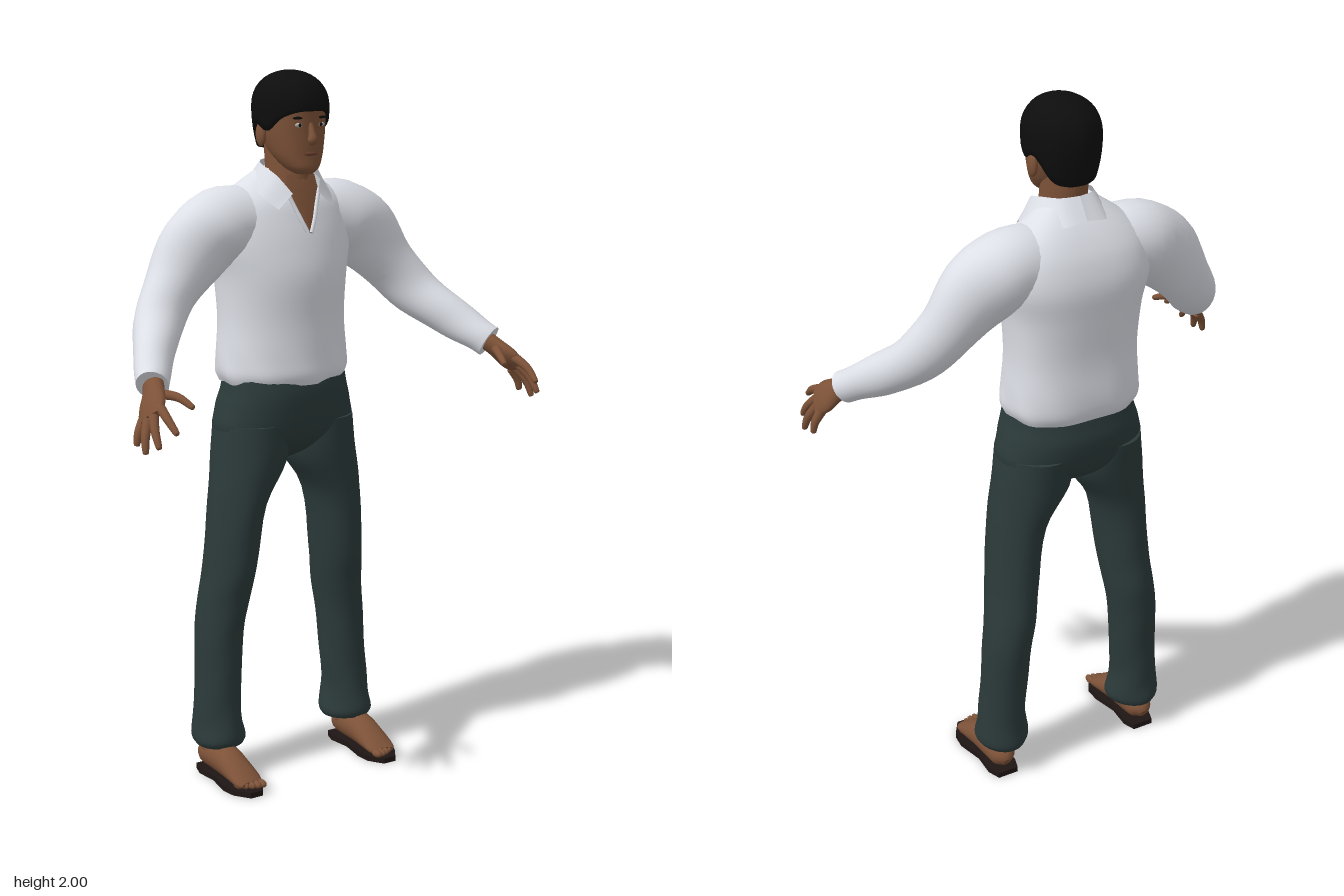
import * as THREE from 'three';

const V = (x, y, z) => new THREE.Vector3(x, y, z);

// Smoothly interpolates rows of numbers, k steps between each pair
function smooth(rows, k = 4) {
  const out = [], last = rows.length - 1;
  for (let i = 0; i < last; i++) {
    const [a, b, c, d] = [rows[Math.max(i - 1, 0)], rows[i], rows[i + 1], rows[Math.min(i + 2, last)]];
    for (let j = 0; j < k; j++) {
      const t = j / k;
      out.push(b.map((_, n) => 0.5 * (2 * b[n] + (c[n] - a[n]) * t +
        (2 * a[n] - 5 * b[n] + 4 * c[n] - d[n]) * t * t + (3 * b[n] - a[n] - 3 * c[n] + d[n]) * t * t * t)));
    }
  }
  out.push(rows[last]);
  return out;
}

// Skins a stack of closed rings and caps both ends
function loft(rings) {
  const n = rings[0].length, pos = [], idx = [];
  rings.forEach(r => r.forEach(p => pos.push(p.x, p.y, p.z)));
  for (let i = 0; i < rings.length - 1; i++) for (let j = 0; j < n; j++) {
    const a = i * n + j, b = i * n + (j + 1) % n;
    idx.push(a, b, a + n, b, b + n, a + n);
  }
  for (const end of [0, 1]) {
    const ring = rings[end ? rings.length - 1 : 0], base = pos.length / 3, mid = V(0, 0, 0);
    ring.forEach(p => { pos.push(p.x, p.y, p.z); mid.addScaledVector(p, 1 / n); });
    pos.push(mid.x, mid.y, mid.z);
    for (let j = 0; j < n; j++) {
      const a = base + j, b = base + (j + 1) % n;
      idx.push(base + n, end ? a : b, end ? b : a);
    }
  }
  return mesh3(pos, idx);
}

function mesh3(pos, idx) {
  const g = new THREE.BufferGeometry();
  g.setAttribute('position', new THREE.Float32BufferAttribute(pos, 3));
  g.setIndex(idx);
  g.computeVertexNormals();
  return g;
}

// Level cross-sections: [y, centre x, half width, front z, back z]
function stack(rows, { n = 32, front = 2, back = 2, fold = () => 0 } = {}) {
  return loft(smooth(rows).map(([y, cx, rx, zf, zb]) => Array.from({ length: n }, (_, j) => {
    const a = j / n * Math.PI * 2, c = Math.cos(a), s = -Math.sin(a), e = 2 / (s > 0 ? front : back);
    const f = 1 + fold(a, y);
    return V(cx + Math.sign(c) * Math.abs(c) ** e * rx * f, y,
      (zf + zb) / 2 + Math.sign(s) * Math.abs(s) ** e * (zf - zb) / 2 * f);
  })));
}

// Limb along a path: [x, y, z, radius, radius along ref]
function limb(rows, { n = 16, ref = V(0, 0, 1), k = 4, fold = () => 0 } = {}) {
  const pts = smooth(rows, k), at = i => V(...pts[Math.min(Math.max(i, 0), pts.length - 1)]);
  return loft(pts.map(([x, y, z, r, rw = r], i) => {
    const t = at(i + 1).sub(at(i - 1)).normalize();
    const u = t.clone().cross(ref).normalize(), w = t.clone().cross(u);
    return Array.from({ length: n }, (_, j) => {
      const a = j / n * Math.PI * 2, f = 1 + fold(a, i);
      return V(x, y, z).addScaledVector(u, Math.cos(a) * r * f).addScaledVector(w, Math.sin(a) * rw * f);
    });
  }));
}

const ball = (x, y, z, sx, sy, sz) => new THREE.SphereGeometry(1, 16, 10).scale(sx, sy, sz).translate(x, y, z);

function mirrored(g) {
  const m = g.clone().scale(-1, 1, 1), ix = m.index.array;
  for (let i = 0; i < ix.length; i += 3) [ix[i], ix[i + 1]] = [ix[i + 1], ix[i]];
  m.computeVertexNormals();
  return m;
}

// Hair cap whose lower edge runs from forehead to sideburn, ear and nape
function hairCap() {
  const n = 48, rings = [];
  const edge = smooth([[1.895], [1.893], [1.875], [1.84], [1.86], [1.80], [1.785], [1.785]], 8);
  for (let i = 0; i <= 15; i++) rings.push(Array.from({ length: n }, (_, j) => {
    const a = j / n * Math.PI * 2, c = Math.cos(a), s = -Math.sin(a);
    const back = Math.acos(s) / Math.PI * (edge.length - 1), lo = Math.floor(back);
    const y0 = THREE.MathUtils.lerp(edge[lo][0], edge[Math.min(lo + 1, edge.length - 1)][0], back - lo);
    const y = y0 + (1.999 - y0) * Math.sin(Math.max(i - 1, 0) / 14 * Math.PI / 2);
    let r = y > 1.9 ? Math.sqrt(Math.max(0.0004, 1 - ((y - 1.9) / 0.1) ** 2.3)) : 1 - 12 * (1.9 - y) ** 2;
    r *= i === 0 ? 0.8 : 1 + 0.008 * Math.sin(a * 9);
    return V(c * 0.101 * r, y, -0.085 + s * 0.119 * r);
  }));
  return loft(rings);
}

export function createModel() {
  const model = new THREE.Group();
  const mat = (name, color, side = THREE.FrontSide) =>
    Object.assign(new THREE.MeshStandardMaterial({ color, side }), { name });
  const skin = mat('skin', 0x7d5238), shirt = mat('shirtWhite', 0xdcdfe6, THREE.DoubleSide);
  const cloth = mat('trouserGreen', 0x2c3a3a), black = mat('hairBlack', 0x0d0d0e);
  const soleMat = mat('soleBrown', 0x1e1614), white = mat('eyeWhite', 0xb9b2aa), lipMat = mat('lip', 0x6b3f30);
  const add = (name, g, m) => {
    const o = new THREE.Mesh(g, m);
    o.name = name;
    model.add(o);
  };
  const pair = (name, g, m) => { add('left' + name, g, m); add('right' + name, mirrored(g), m); };

  // Head and neck
  add('head', stack([[1.724, 0, 0.022, 0.006, -0.04], [1.74, 0, 0.046, 0.019, -0.08], [1.77, 0, 0.066, 0.018, -0.12],
    [1.80, 0, 0.077, 0.018, -0.15], [1.84, 0, 0.086, 0.018, -0.175], [1.88, 0, 0.088, 0.02, -0.185],
    [1.92, 0, 0.087, 0.02, -0.185], [1.96, 0, 0.065, -0.01, -0.16]], { front: 2.2 }), skin);
  add('neck', stack([[1.60, 0, 0.075, -0.03, -0.17], [1.68, 0, 0.064, -0.022, -0.165], [1.73, 0, 0.061, -0.025, -0.165],
    [1.77, 0, 0.061, -0.03, -0.168], [1.83, 0, 0.062, -0.03, -0.17]]), skin);
  add('hair', hairCap(), black);
  add('nose', limb([[0, 1.862, 0.014, 0.007], [0, 1.835, 0.024, 0.010], [0, 1.818, 0.026, 0.014],
    [0, 1.808, 0.018, 0.008]], { n: 12 }), skin);
  add('mouth', ball(0, 1.78, 0.012, 0.024, 0.007, 0.009), lipMat);
  pair('Ear', ball(0.09, 1.83, -0.092, 0.012, 0.034, 0.02), skin);
  pair('Eye', ball(0.034, 1.858, 0.011, 0.014, 0.006, 0.005), white);
  pair('Iris', ball(0.034, 1.858, 0.0145, 0.005, 0.005, 0.003), black);
  pair('Eyebrow', ball(0.036, 1.877, 0.011, 0.019, 0.004, 0.006), black);

  // Shirt body, loose with folds gathering at the hem
  const gather = (a, y) => 0.006 * Math.sin(5 * a + y * 14) + Math.max(0, 1.26 - y) * 0.12 * Math.sin(9 * a + y * 30);
  add('shirtBody', stack([[1.142, 0, 0.182, 0.012, -0.258], [1.17, 0, 0.193, 0.022, -0.268], [1.22, 0, 0.191, 0.02, -0.27],
    [1.32, 0, 0.184, 0.018, -0.266], [1.44, 0, 0.192, 0.025, -0.276], [1.53, 0, 0.212, 0.012, -0.283],
    [1.60, 0, 0.208, -0.006, -0.268], [1.65, 0, 0.182, -0.024, -0.243], [1.695, 0, 0.125, -0.055, -0.21],
    [1.735, 0, 0.068, -0.075, -0.172]], { n: 48, back: 2.6, fold: gather }), shirt);
  pair('Sleeve', limb([[0.11, 1.585, -0.14, 0.098, 0.1], [0.20, 1.58, -0.138, 0.107, 0.104], [0.28, 1.528, -0.13, 0.105, 0.088],
    [0.36, 1.435, -0.115, 0.082, 0.07], [0.425, 1.355, -0.075, 0.07, 0.064], [0.485, 1.293, 0.0, 0.06, 0.056],
    [0.53, 1.248, 0.068, 0.05, 0.047], [0.554, 1.222, 0.108, 0.047, 0.042]],
  { n: 24, fold: (a, i) => 0.02 * Math.sin(2 * a + i * 0.9) }), shirt);

  // Open neckline
  const vee = [[1.565, 0.002, 0.012], [1.60, 0.018, 0.006], [1.64, 0.034, -0.005], [1.68, 0.05, -0.014], [1.72, 0.045, -0.026]];
  const vp = [], vi = [];
  vee.forEach(([y, w, z], i) => {
    vp.push(-w, y, z - w * 0.18, 0, y, z, w, y, z - w * 0.18);
    if (i) for (const k of [3 * i - 3, 3 * i - 2]) vi.push(k, k + 1, k + 4, k, k + 4, k + 3);
  });
  add('openNeckline', mesh3(vp, vi), skin);
  pair('NecklineEdge', limb(vee.slice(0, 4).map(([y, w, z]) => [w + 0.003, y, z - w * 0.18, 0.006]), { n: 8 }), shirt);

  // Collar: top edge and turned-down lower edge, from nape to front tip
  const collar = smooth([[0, 1.755, -0.178, 0, 1.70, -0.216], [0.05, 1.752, -0.16, 0.07, 1.69, -0.206],
    [0.077, 1.742, -0.10, 0.108, 1.69, -0.13], [0.07, 1.72, -0.045, 0.112, 1.665, -0.055],
    [0.042, 1.672, -0.008, 0.088, 1.632, -0.008]]);
  const cp = [], ci = [];
  collar.forEach((r, i) => {
    cp.push(...r);
    if (i) ci.push(2 * i - 2, 2 * i, 2 * i - 1, 2 * i, 2 * i + 1, 2 * i - 1);
  });
  pair('Collar', mesh3(cp, ci), shirt);

  // Trousers: hips and two legs with crumpled cuffs
  add('trouserHips', stack([[0.915, 0, 0.02, -0.10, -0.15], [0.95, 0, 0.11, -0.04, -0.215], [1.0, 0, 0.208, -0.004, -0.248],
    [1.07, 0, 0.203, 0.01, -0.262], [1.12, 0, 0.188, 0.014, -0.256], [1.16, 0, 0.18, 0.01, -0.25]],
  { front: 2.3, back: 2.3 }), cloth);
  pair('TrouserLeg', stack([[0.095, 0.22, 0.068, -0.058, -0.205], [0.115, 0.221, 0.077, -0.05, -0.211],
    [0.16, 0.222, 0.071, -0.06, -0.207], [0.21, 0.222, 0.067, -0.066, -0.205], [0.30, 0.215, 0.067, -0.07, -0.208],
    [0.42, 0.208, 0.068, -0.068, -0.22], [0.52, 0.194, 0.07, -0.055, -0.226], [0.62, 0.181, 0.071, -0.034, -0.218],
    [0.80, 0.16, 0.078, -0.02, -0.217], [0.92, 0.117, 0.108, -0.01, -0.235], [1.03, 0.106, 0.104, -0.004, -0.25]],
  { fold: (a, y) => Math.max(0.006, 0.04 - y * 0.13) * Math.sin(3 * a + y * 40) }), cloth);

  // Hands
  pair('Palm', limb([[0.545, 1.23, 0.095, 0.026, 0.03], [0.562, 1.208, 0.128, 0.024, 0.034],
    [0.585, 1.178, 0.16, 0.021, 0.048], [0.603, 1.155, 0.186, 0.012, 0.042]], { ref: V(0.025, -0.045, -0.055) }), skin);
  const fingers = {
    Index: [[0.582, 1.185, 0.192], [0.588, 1.162, 0.242], [0.585, 1.132, 0.282]],
    Middle: [[0.597, 1.165, 0.187], [0.613, 1.13, 0.222], [0.618, 1.093, 0.25]],
    Ring: [[0.605, 1.15, 0.172], [0.626, 1.11, 0.195], [0.633, 1.073, 0.208]],
    Little: [[0.606, 1.143, 0.15], [0.624, 1.112, 0.155], [0.63, 1.083, 0.157]],
    Thumb: [[0.557, 1.205, 0.135], [0.527, 1.202, 0.188], [0.51, 1.182, 0.234]],
  };
  for (const [name, [a, b, c]] of Object.entries(fingers)) {
    const end = c.map((v, i) => v + (c[i] - b[i]) * 0.08);
    pair(name + 'Finger', limb([[...a, 0.014], [...b, 0.0115], [...c, 0.008], [...end, 0.002]], { n: 10 }), skin);
  }

  // Feet on thin dark soles
  pair('Foot', limb([[0.234, 0.045, -0.186, 0.015, 0.018], [0.234, 0.055, -0.165, 0.036, 0.036], [0.232, 0.063, -0.11, 0.044, 0.045],
    [0.232, 0.057, -0.05, 0.044, 0.042], [0.231, 0.042, 0.005, 0.045, 0.029], [0.23, 0.03, 0.045, 0.043, 0.016],
    [0.229, 0.027, 0.06, 0.034, 0.01]], { ref: V(0, 1, 0) }), skin);
  pair('Ankle', stack([[0.05, 0.232, 0.04, -0.06, -0.18], [0.10, 0.23, 0.042, -0.075, -0.18], [0.18, 0.225, 0.045, -0.08, -0.18]]), skin);
  for (let i = 0; i < 5; i++)
    pair('Toe' + (i + 1), ball(0.2 + i * 0.0155, 0.026, 0.066 - i * i * 0.0018, 0.0115 - i * 0.0008, 0.011, 0.02), skin);
  const sole = new THREE.Shape([[0.2, -0.188], [0.262, -0.188], [0.275, -0.15], [0.27, -0.08], [0.286, 0.0], [0.28, 0.045],
    [0.25, 0.09], [0.21, 0.09], [0.182, 0.045], [0.18, 0], [0.195, -0.08], [0.188, -0.15]].map(([x, z]) => new THREE.Vector2(x, -z)));
  const soleGeo = new THREE.ExtrudeGeometry(sole, { depth: 0.016, bevelEnabled: false }).rotateX(-Math.PI / 2);
  soleGeo.setIndex([...Array(soleGeo.attributes.position.count).keys()]);
  pair('Sole', soleGeo, soleMat);
  return model;
}
